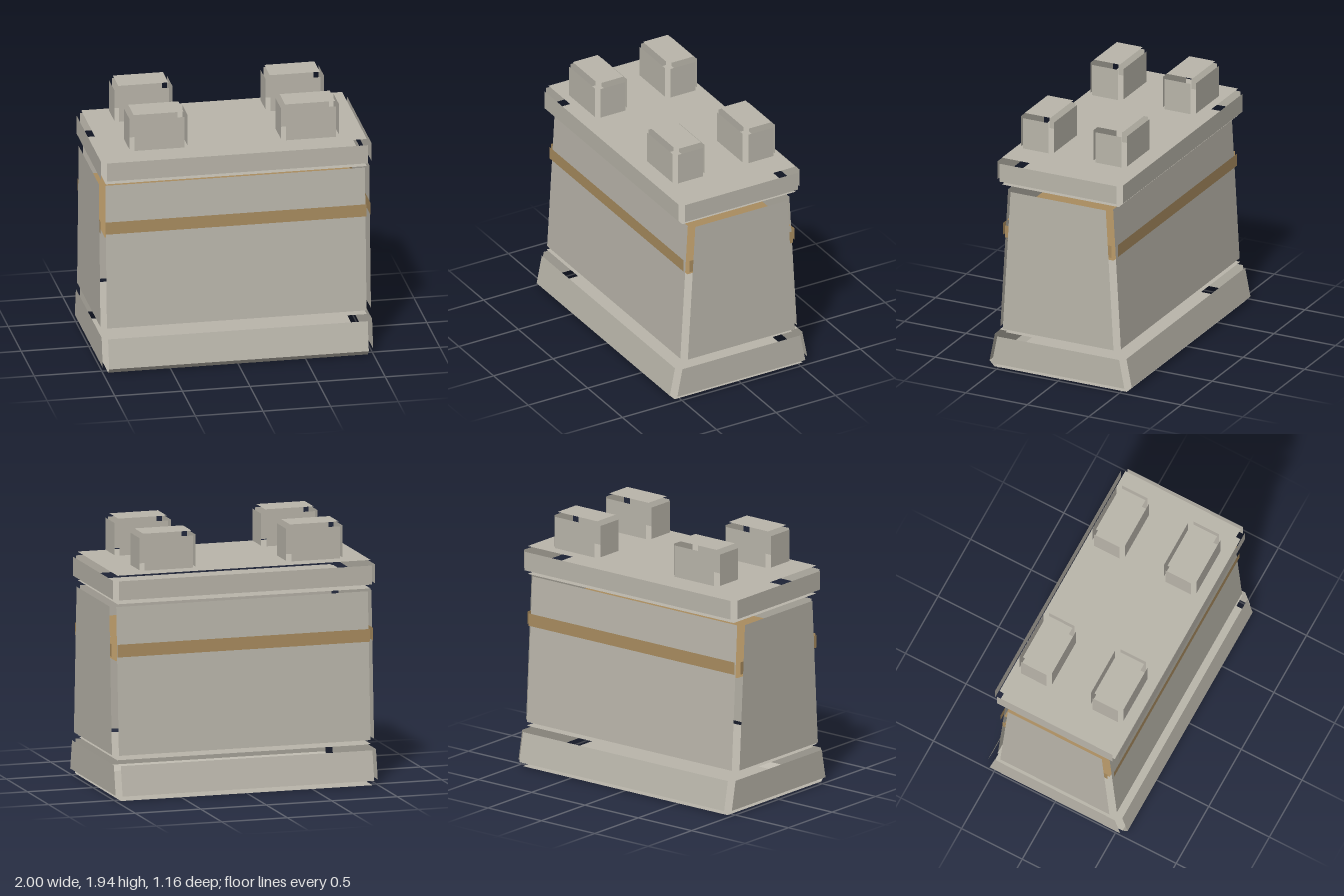
import * as THREE from 'three';

// One double-sided sheet from four corners, counter-clockwise from outside
function sheet(name, corners, material) {
  const g = new THREE.BufferGeometry();
  g.setAttribute('position', new THREE.Float32BufferAttribute(corners.flat(), 3));
  g.setIndex([0, 1, 2, 0, 2, 3]);
  g.computeVertexNormals();
  const mesh = new THREE.Mesh(g, material);
  mesh.name = name;
  return mesh;
}

// Box made of six separate sheets with open edges of width d.
// zb and zt are the half depths at the bottom and top of the upright sheets.
function openEdgedBox(name, { x = 0, z = 0, hx, zb, zt = zb, y0, y1, d }, material) {
  const group = new THREE.Group();
  group.name = name;
  const w = hx - d, lo = y0 + d, hi = y1 - d;
  const add = (part, corners) => group.add(sheet(part, corners, material));
  add('frontPanel', [[-w, lo, zb], [w, lo, zb], [w, hi, zt], [-w, hi, zt]]);
  add('backPanel', [[w, lo, -zb], [-w, lo, -zb], [-w, hi, -zt], [w, hi, -zt]]);
  add('leftPanel', [[hx, lo, zb - d], [hx, lo, d - zb], [hx, hi, d - zt], [hx, hi, zt - d]]);
  add('rightPanel', [[-hx, lo, d - zb], [-hx, lo, zb - d], [-hx, hi, zt - d], [-hx, hi, d - zt]]);
  add('topPanel', [[-w, y1, zt - d], [w, y1, zt - d], [w, y1, d - zt], [-w, y1, d - zt]]);
  add('bottomPanel', [[-w, y0, d - zb], [w, y0, d - zb], [w, y0, zb - d], [-w, y0, zb - d]]);
  group.position.set(x, 0, z);
  return group;
}

export function createModel() {
  const model = new THREE.Group();
  model.name = 'steppedBlock';
  const stone = new THREE.MeshStandardMaterial({ name: 'paleStone', color: 0xb9b5aa, side: THREE.DoubleSide });
  const tan = new THREE.MeshStandardMaterial({ name: 'tanBand', color: 0xa98c5f, side: THREE.DoubleSide });

  // Flared base with a chamfer under its front
  const base = openEdgedBox('base', { hx: 1, zb: 0.578, zt: 0.535, y0: 0, y1: 0.298, d: 0.04 }, stone);
  base.add(sheet('frontChamfer', [[-0.96, 0, 0.538], [0.96, 0, 0.538], [0.96, 0.04, 0.578], [-0.96, 0.04, 0.578]], stone));
  model.add(base);

  // Tapered body, band and lid
  model.add(openEdgedBox('body', { hx: 1, zb: 0.49, zt: 0.427, y0: 0.285, y1: 1.455, d: 0.04 }, stone));
  model.add(openEdgedBox('band', { hx: 0.998, zb: 0.467, y0: 1.016, y1: 1.176, d: 0.033 }, tan));
  model.add(openEdgedBox('lid', { hx: 1, zb: 0.51, y0: 1.445, y1: 1.656, d: 0.035 }, stone));

  // Four corner blocks on the lid
  for (const sx of [-1, 1]) {
    for (const sz of [-1, 1]) {
      model.add(openEdgedBox('cornerBlock',
        { x: sx * 0.56, z: sz * 0.295, hx: 0.215, zb: 0.135, y0: 1.642, y1: 1.94, d: 0.03 }, stone));
    }
  }
  return model;
}
